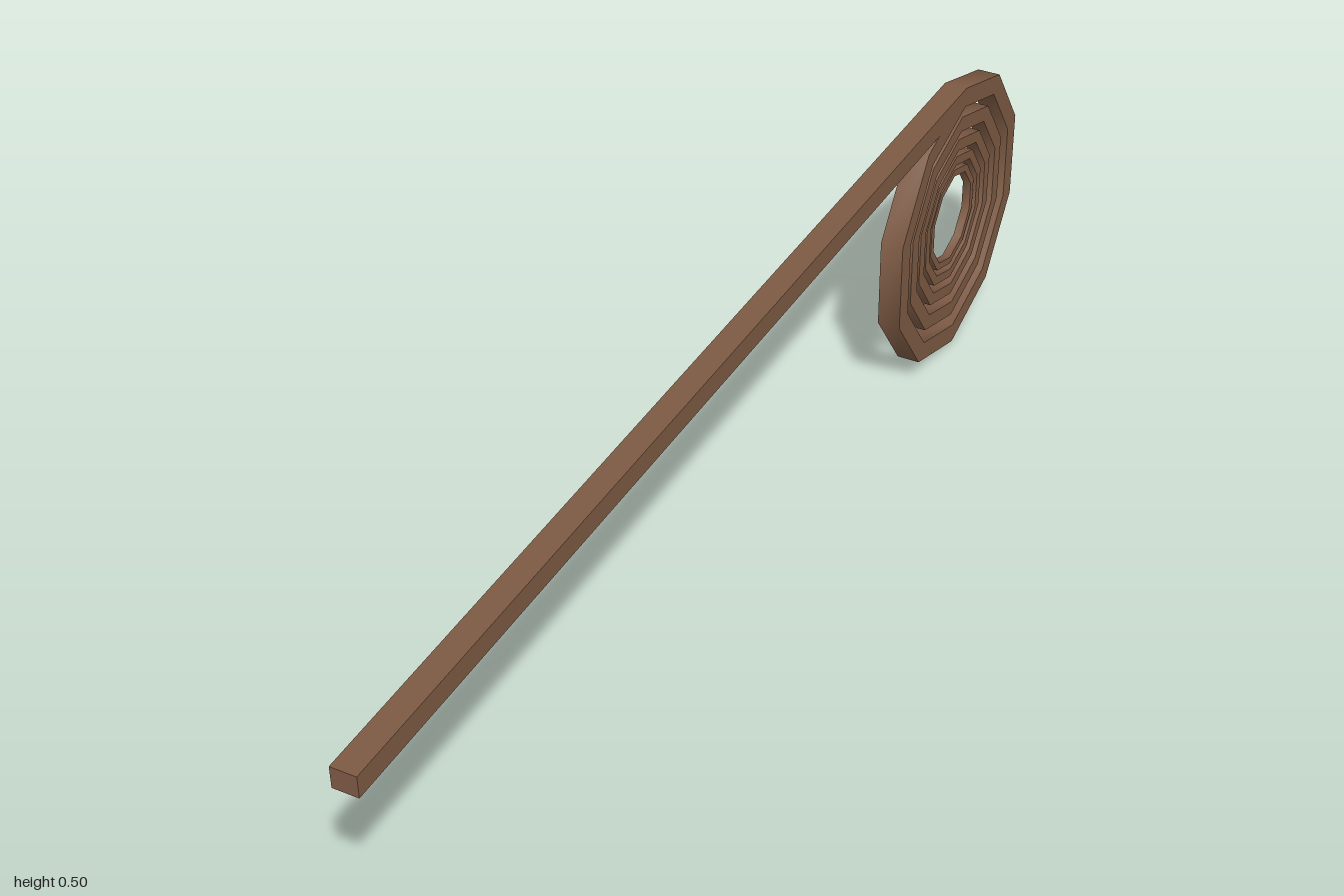
import * as THREE from 'three';
import { toCreasedNormals } from 'three/addons/utils/BufferGeometryUtils.js';

const R = 0.248;       // outer ring radius (to the corners)
const THICK = 0.034;   // bar height and outer ring thickness
const WIDTH = 0.038;   // bar and outer ring width
const CZ = -1 + R * Math.cos(Math.PI / 10); // coil centre
const SIDES = 10;

// Ten corners, anticlockwise, with one pointing straight up
function decagon(radius) {
  return Array.from({ length: SIDES }, (_, i) => {
    const a = (i / SIDES) * Math.PI * 2;
    return new THREE.Vector2(-Math.sin(a) * radius, Math.cos(a) * radius);
  });
}

// Ten-sided ring standing in the y-z plane, shaded smoothly around its rim
function createRingGeometry() {
  const shape = new THREE.Shape(decagon(R));
  shape.holes.push(new THREE.Path(decagon(R - THICK).reverse()));
  const geometry = new THREE.ExtrudeGeometry(shape, { depth: WIDTH, bevelEnabled: false });
  geometry.translate(0, 0, -WIDTH / 2);
  geometry.rotateY(Math.PI / 2);
  return toCreasedNormals(geometry, 0.8);
}

export function createModel() {
  const model = new THREE.Group();
  model.name = 'coiledBar';
  const material = new THREE.MeshStandardMaterial({ color: 0x7d5a44, side: THREE.DoubleSide });

  // Long straight bar, running from the front to the top of the coil
  const length = 1 - CZ;
  const bar = new THREE.Mesh(new THREE.BoxGeometry(WIDTH, THICK, length), material);
  bar.name = 'straightBar';
  bar.position.set(0, 2 * R - THICK / 2, CZ + length / 2);
  model.add(bar);

  // Nested rings, each a smaller copy of the one around it
  const ringGeometry = createRingGeometry();
  const coil = new THREE.Group();
  coil.name = 'coil';
  coil.position.set(0, R, CZ);
  for (let i = 0; i < 5; i++) {
    const ring = new THREE.Mesh(ringGeometry, material);
    ring.name = `coilRing${i + 1}`;
    ring.scale.setScalar(Math.pow(0.78, i));
    coil.add(ring);
  }
  model.add(coil);
  return model;
}
